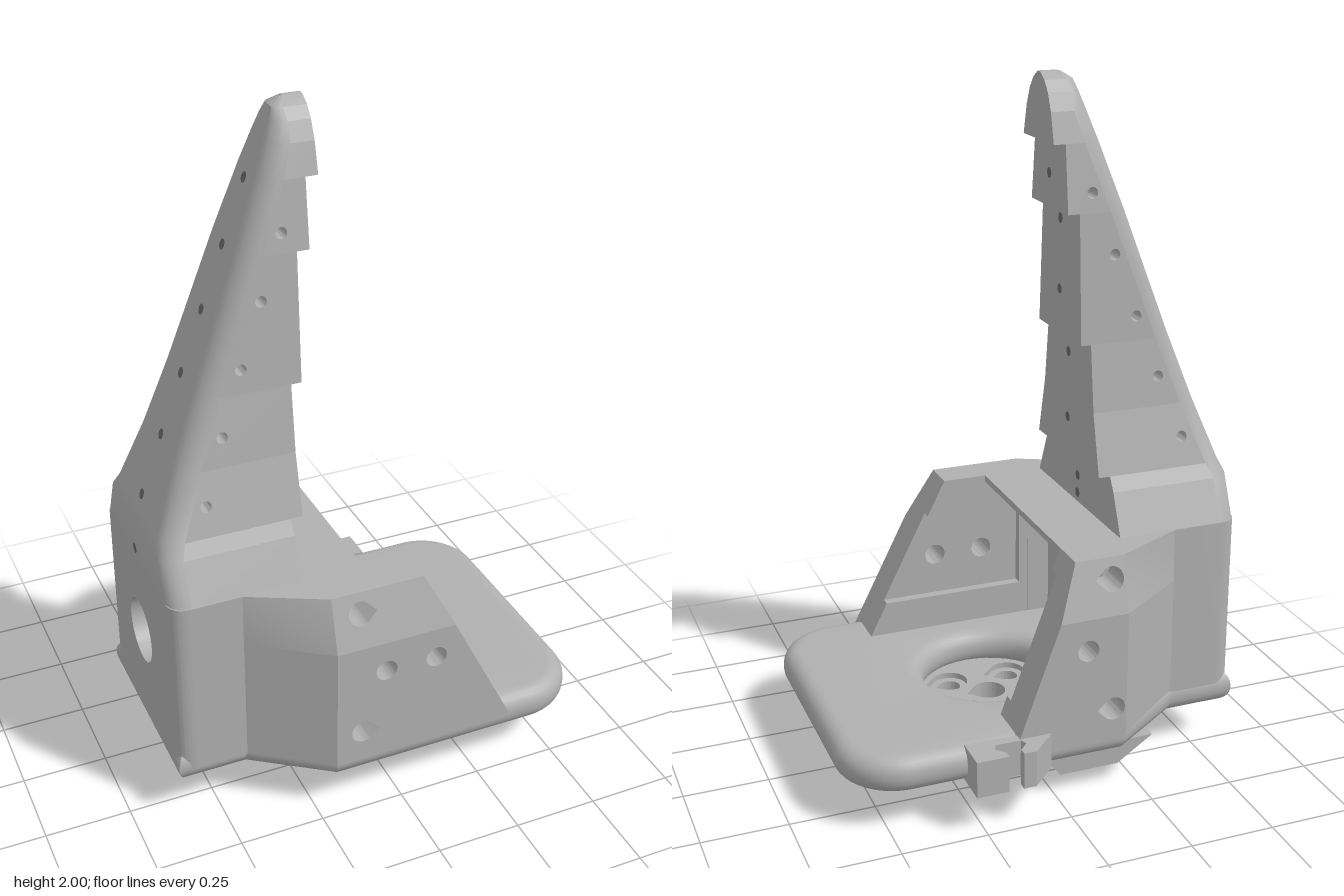
import * as THREE from 'three';
import { toCreasedNormals } from 'three/addons/utils/BufferGeometryUtils.js';

const ZC = 0.035; // the symmetry plane of the body
const grey = new THREE.MeshStandardMaterial({ color: 0xb0b0b0 });
const dark = new THREE.MeshStandardMaterial({ color: 0x6a6a6a });
grey.name = 'plasticGrey';
dark.name = 'holeShade';

const poly = (pts) => new THREE.Shape(pts.map(([x, y]) => new THREE.Vector2(x, y)));
const circle = (x, y, r) => new THREE.Path().absarc(x, y, r, 0, Math.PI * 2, true);

// Round hole drawn out to a point towards +x
function teardrop(x, y, r) {
  const p = new THREE.Path();
  p.absarc(x, y, r, Math.PI / 4, Math.PI * 1.75, false);
  p.lineTo(x + r * 1.42, y);
  p.closePath();
  return p;
}

function extrude(shape, depth, holes = [], opts = {}) {
  shape.holes.push(...holes);
  return new THREE.ExtrudeGeometry(shape, { depth, bevelEnabled: false, curveSegments: 20, ...opts });
}

// Shape drawn in x and z, raised from y0 to y1
function prism(shape, y0, y1, holes) {
  return extrude(shape, y1 - y0, holes).rotateX(Math.PI / 2).translate(0, y1, 0);
}

// Move every vertex's z by a rule
function mapZ(geo, rule) {
  const p = geo.attributes.position;
  for (let i = 0; i < p.count; i++) p.setZ(i, rule(p.getX(i), p.getY(i), p.getZ(i)));
  geo.computeVertexNormals();
  return geo;
}

export function createModel() {
  const root = new THREE.Group();
  const add = (name, geo, mat = grey, parent = root) => {
    const m = new THREE.Mesh(mat === grey ? toCreasedNormals(geo, 0.6) : geo, mat);
    m.name = name;
    parent.add(m);
    return m;
  };
  const group = (name) => {
    const g = new THREE.Group();
    g.name = name;
    root.add(g);
    return g;
  };

  // Base plate with rolled edges and a round dish
  const outline = poly([[-0.62, -0.27], [-0.42, -0.27], [-0.2, -0.42], [0.43, -0.42]]);
  outline.absarc(0.435, -0.24, 0.18, -Math.PI / 2, 0, false);
  outline.absarc(0.435, 0.31, 0.18, 0, Math.PI / 2, false);
  outline.lineTo(-0.2, 0.49);
  outline.lineTo(-0.42, 0.335);
  outline.lineTo(-0.62, 0.335);
  const plate = extrude(outline, 0.01, [circle(0.048, ZC, 0.2)], {
    bevelEnabled: true, bevelThickness: 0.05, bevelSize: 0.05, bevelOffset: 0, bevelSegments: 6,
  });
  plate.dispose();
  const rolled = new THREE.ExtrudeGeometry(outline, {
    depth: 0.01, curveSegments: 20, bevelEnabled: true, bevelThickness: 0.05, bevelSize: 0.05,
    bevelOffset: -0.05, bevelSegments: 6,
  });
  add('basePlate', rolled.rotateX(Math.PI / 2).translate(0, 0.18, 0));

  // Dish floor with teardrop screw holes, and the hub ring below
  const hub = group('hub');
  const drops = (k, big) => [[0, 0, big], ...[[1, 1], [1, -1], [-1, 1], [-1, -1]].map(([a, b]) => [a * 0.095, b * 0.095, k])]
    .map(([x, z, r]) => teardrop(0.048 + x, ZC + z, r));
  const disc = (r) => new THREE.Shape().absarc(0.048, ZC, r, 0, Math.PI * 2, false);
  add('dishFloor', prism(disc(0.257), 0.122, 0.14, drops(0.055, 0.05)), grey, hub);
  add('hubFloor', prism(disc(0.215), 0.03, 0.122, drops(0.033, 0.05)), grey, hub);
  add('hubRing', prism(disc(0.225), 0, 0.125, [circle(0.048, ZC, 0.2)]), grey, hub);

  // Ramps under the plate
  add('cableRamp', extrude(poly([[-0.3, 0.13], [-0.16, 0.02], [-0.02, 0.02], [-0.02, 0.13]]), 0.1).translate(0, 0, -0.03));
  add('underHook', extrude(poly([[-0.31, 0.13], [-0.2, 0.057], [-0.02, 0.057], [0.04, 0.13]]), 0.1).translate(0, 0, -0.37));

  // Slotted cable clip at the rear edge
  add('cableClip', prism(poly([
    [0.02, -0.4], [0.03, -0.42], [0.105, -0.495], [0.142, -0.495], [0.142, -0.472], [0.116, -0.445], [0.125, -0.425],
    [0.2, -0.425], [0.21, -0.445], [0.186, -0.472], [0.186, -0.495], [0.28, -0.495], [0.28, -0.39],
  ]), 0.12, 0.23));

  // Back block: bored centre and two sides with rounded rear corners
  const back = group('backBlock');
  const core = poly([[-0.275, 0.17], [0.205, 0.17], [0.205, 0.72], [-0.275, 0.72]]);
  add('boredCentre', extrude(core, 0.35, [circle(-ZC, 0.465, 0.097)]).rotateY(Math.PI / 2).translate(-0.62, 0, 0), grey, back);
  for (const s of [1, -1]) {
    const side = poly([[-0.27, ZC + s * 0.235], [-0.62, ZC + s * 0.235], [-0.62, ZC + s * 0.243]]);
    side.quadraticCurveTo(-0.62, ZC + s * 0.303, -0.56, ZC + s * 0.303);
    side.lineTo(-0.27, ZC + s * 0.303);
    add('blockSide', prism(side, 0.17, 0.72), grey, back);
  }
  add('deckFront', new THREE.BoxGeometry(0.225, 0.02, 0.63).translate(-0.1675, 0.71, ZC));

  // Side cheeks: sloped front edge, leaning top, inner pocket
  const outer = (y) => (y > 0.56 ? 0.455 - ((y - 0.56) / 0.16) * 0.045 : 0.455);
  function cheek(s, topX, botX, pocket, bolts) {
    const g = group(s > 0 ? 'frontCheek' : 'rearCheek');
    const edge = (y) => botX + ((y - 0.23) / 0.49) * (topX - botX);
    const slab = (name, y0, y1, d0, d1, holes = [], x0 = -0.2, x1 = null) => {
      const geo = extrude(poly([[x0, y0], [x1 ?? edge(y0), y0], [x1 ?? edge(y1), y1], [x0, y1]]), 1, holes);
      add(name, mapZ(geo, (x, y, z) => {
        const t = s > 0 ? z : 1 - z;
        return ZC + s * (d0 + t * ((d1 ?? outer(y)) - d0));
      }), grey, g);
    };
    const sx = s > 0 ? -0.12 : -0.16;
    slab('lowerWall', 0.17, 0.56, 0.332, null, [teardrop(sx, 0.27, 0.035), ...bolts.map((x) => circle(x, 0.465, 0.032))]);
    slab('upperWall', 0.56, 0.72, 0.332, null, [teardrop(sx, 0.66, 0.035)]);
    slab('pocketSill', 0.17, pocket[0], 0.303, 0.333);
    slab('pocketHead', pocket[1], 0.72, 0.303, 0.333);
    slab('pocketBack', pocket[0], pocket[1], 0.303, 0.333, [], -0.2, -0.17);
    // Angled rear part, meeting the back block
    for (const [y0, y1] of [[0.17, 0.56], [0.56, 0.72]]) {
      const tri = prism(poly([[-0.42, 0.3], [-0.2, 0.3], [-0.2, 0.455]].map(([x, d]) => [x, ZC + s * d])), y0, y1);
      add('angledWall', mapZ(tri, (x, y, z) => {
        const d = (z - ZC) * s;
        return ZC + s * (d > 0.4 ? outer(y) : d);
      }), grey, g);
    }
  }
  cheek(1, 0.08, 0.33, [0.335, 0.61], [-0.05, 0.105]);
  cheek(-1, -0.055, 0.125, [0.285, 0.655], [-0.08]);

  // Tapering finger: [height, half width], stepped inner face, straight sloping back
  const finger = group('finger');
  const levels = [[0.72, 0.303], [0.84, 0.25], [0.88, 0.225], [1.06, 0.18], [1.255, 0.155], [1.42, 0.145], [1.625, 0.133],
    [1.815, 0.11], [1.9, 0.088], [1.95, 0.065], [1.98, 0.04], [2, 0.008]];
  const backX = (y) => (y < 0.84 ? -0.62 : y > 1.99 ? -0.165 : -0.62 + (y - 0.84) * 0.372);
  const frontX = (y) => (y < 0.88 ? -0.24 : y < 1.255 ? -0.205 : y < 1.625 ? -0.175 : y < 1.815 ? -0.14 : -0.105);
  const round = (w) => Math.min(0.06, w * 0.6);
  const pins = [[-0.475, 0.965], [-0.41, 1.145], [-0.345, 1.325], [-0.28, 1.505], [-0.215, 1.68]];
  for (let i = 0; i + 1 < levels.length; i++) {
    const [[y0, w0], [y1, w1]] = [levels[i], levels[i + 1]];
    const f = frontX((y0 + y1) / 2);
    const band = poly([[backX(y0) + round(w0), y0], [f, y0], [f, y1], [backX(y1) + round(w1), y1]]);
    const holes = pins.filter(([, y]) => y > y0 && y < y1).map(([x, y]) => circle(x, y, 0.016));
    add('fingerBand', mapZ(extrude(band, 1, holes), (x, y, z) =>
      ZC + (2 * z - 1) * (w0 + ((y - y0) / (y1 - y0)) * (w1 - w0))), grey, finger);
  }

  // Rounded back of the finger, lofted through the same levels
  const pos = [], idx = [], n = 6, row = 2 * (n + 1);
  levels.forEach(([y, w], j) => {
    const r = round(w), x = backX(y) + r;
    for (let i = 0; i < row; i++) {
      const top = i <= n;
      const a = ((top ? i : row - 1 - i) / n) * Math.PI / 2;
      pos.push(x - r * Math.sin(a), y, ZC + (top ? 1 : -1) * (w - r + r * Math.cos(a)));
      if (j && i) {
        const b = j * row + i, a0 = b - row;
        idx.push(a0 - 1, b - 1, a0, a0, b - 1, b);
      }
    }
  });
  const loft = new THREE.BufferGeometry();
  loft.setAttribute('position', new THREE.Float32BufferAttribute(pos, 3));
  loft.setIndex(idx);
  loft.computeVertexNormals();
  add('fingerBack', loft, grey, finger);

  // Small thread holes on the inner and back faces
  const dot = (x, y, nx, ny) => {
    const m = add('threadHole', new THREE.CircleGeometry(0.015, 16), dark, finger);
    m.position.set(x + nx * 0.002, y + ny * 0.002, ZC);
    m.lookAt(x + nx, y + ny, ZC);
  };
  for (const y of [0.75, 0.805, 0.995, 1.195, 1.385, 1.59, 1.72]) dot(frontX(y), y, 1, 0);
  for (let i = 0; i < 6; i++) dot(-0.59 + i * 0.065, 0.92 + i * 0.175, -0.937, 0.349);
  dot(-0.62, 0.75, -1, 0);
  return root;
}
